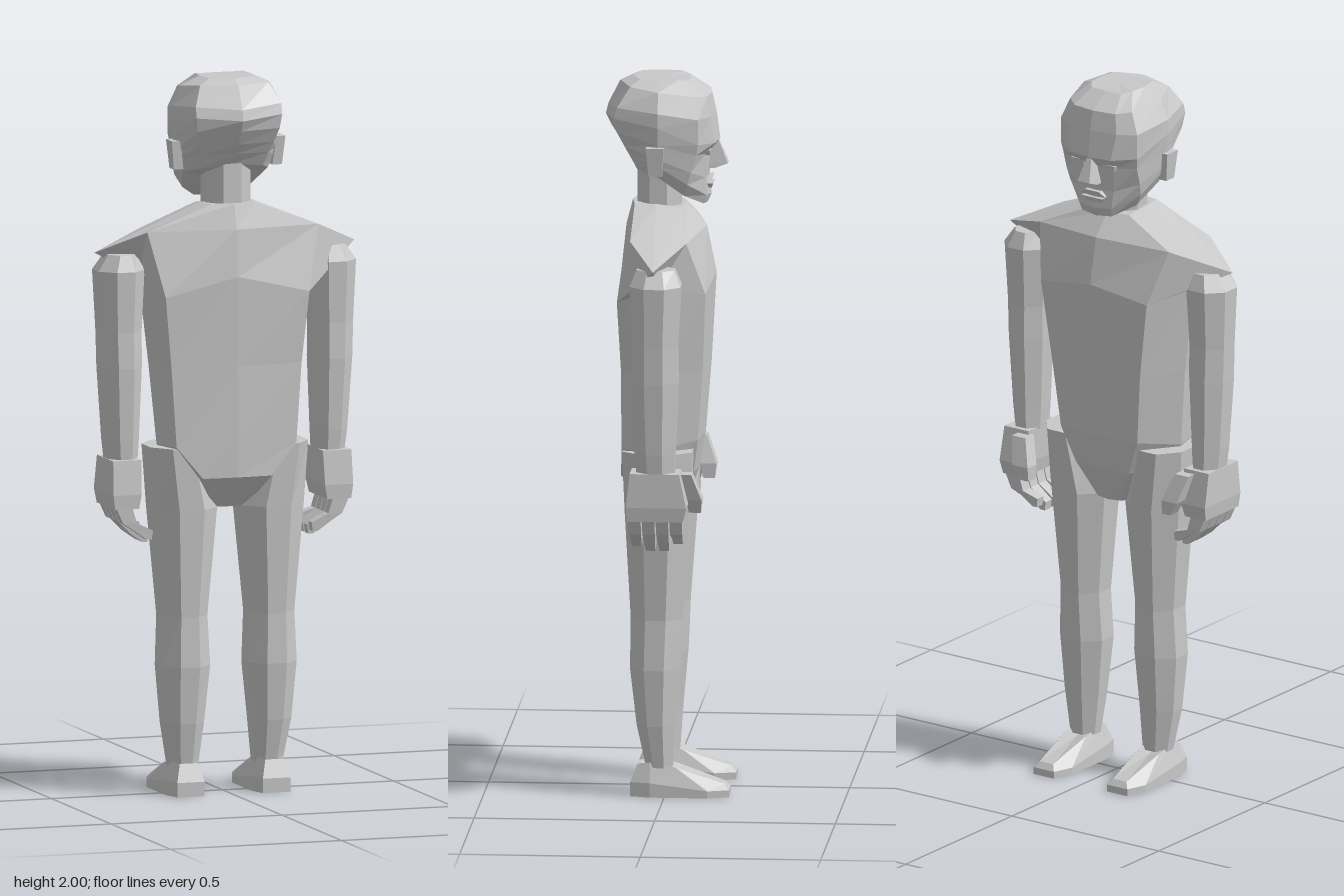
import * as THREE from 'three';

const grey = new THREE.MeshStandardMaterial({ color: 0xc8c8c8, flatShading: true });
grey.name = 'plain grey';

// Skin a stack of rings (lowest first, each counter-clockwise from above) and cap both ends.
// side = -1 mirrors the part to the other side of the body.
function loft(name, rings, side = 1) {
  if (side < 0) rings = rings.map(r => r.map(([x, y, z]) => [-x, y, z]).reverse());
  const n = rings[0].length, top = rings.length - 1, pos = rings.flat(2), idx = [];
  for (let i = 0; i < top; i++) {
    for (let j = 0; j < n; j++) {
      const a = i * n + j, b = i * n + (j + 1) % n;
      idx.push(a, b, b + n, a, b + n, a + n);
    }
  }
  for (const i of [0, top]) {
    const c = pos.length / 3;
    for (let k = 0; k < 3; k++) pos.push(rings[i].reduce((s, p) => s + p[k] / n, 0));
    for (let j = 0; j < n; j++) {
      const a = i * n + j, b = i * n + (j + 1) % n;
      idx.push(...(i ? [c, a, b] : [c, b, a]));
    }
  }
  const indexed = new THREE.BufferGeometry();
  indexed.setAttribute('position', new THREE.Float32BufferAttribute(pos, 3));
  indexed.setIndex(idx);
  const geo = indexed.toNonIndexed();
  geo.computeVertexNormals();
  const mesh = new THREE.Mesh(geo, grey);
  mesh.name = name;
  return mesh;
}

// Complete a half ring running from back centre to front centre
const mirrorRing = half => [...half, ...half.slice(1, -1).reverse().map(([x, y, z]) => [-x, y, z])];

// Eight-sided section with cut corners
function octagon([y, x0, x1, z0, z1], cut = 0.3) {
  const cx = (x1 - x0) * cut, cz = (z1 - z0) * cut;
  return [[x0 + cx, y, z1], [x1 - cx, y, z1], [x1, y, z1 - cz], [x1, y, z0 + cz],
    [x1 - cx, y, z0], [x0 + cx, y, z0], [x0, y, z0 + cz], [x0, y, z1 - cz]];
}

// Four-sided section
const rect = ([y, x0, x1, z0, z1]) => [[x0, y, z1], [x1, y, z1], [x1, y, z0], [x0, y, z0]];

export function createModel() {
  const figure = new THREE.Group();
  figure.name = 'figure';

  // Torso with pointed shoulder caps
  figure.add(loft('torso', [
    [[0, 0.8, 0.06], [0.05, 0.8, 0.055], [0.06, 0.8, 0], [0.04, 0.8, -0.04], [0, 0.8, -0.05]],
    [[0, 0.89, 0.13], [0.1, 0.89, 0.125], [0.17, 0.9, 0.02], [0.09, 0.9, -0.075], [0, 0.9, -0.085]],
    [[0, 1, 0.132], [0.175, 0.98, 0.118], [0.2, 0.98, 0.02], [0.13, 1, -0.09], [0, 1, -0.102]],
    [[0, 1.2, 0.13], [0.19, 1.2, 0.118], [0.22, 1.2, 0.01], [0.15, 1.2, -0.105], [0, 1.2, -0.118]],
    [[0, 1.45, 0.132], [0.21, 1.4, 0.128], [0.25, 1.45, 0.01], [0.18, 1.42, -0.115], [0, 1.45, -0.132]],
    [[0, 1.58, 0.118], [0.25, 1.58, 0.088], [0.38, 1.52, 0.015], [0.22, 1.57, -0.065], [0, 1.58, -0.105]],
    [[0, 1.65, 0.1], [0.065, 1.65, 0.09], [0.075, 1.65, 0.03], [0.065, 1.64, -0.04], [0, 1.64, -0.05]],
  ].map(mirrorRing)));

  figure.add(loft('neck', [
    octagon([1.6, -0.065, 0.065, -0.035, 0.085]),
    octagon([1.79, -0.065, 0.065, -0.035, 0.085]),
  ]));

  // Head from jaw to crown: back, back corner, side, cheek, face corner, face centre
  figure.add(loft('head', [
    [[0, 1.76, 0.085], [0.09, 1.75, 0.08], [0.125, 1.735, 0.02], [0.1, 1.68, -0.05], [0.05, 1.65, -0.1], [0, 1.645, -0.106]],
    [[0, 1.79, 0.11], [0.1, 1.79, 0.1], [0.143, 1.77, 0.02], [0.12, 1.715, -0.06], [0.055, 1.675, -0.108], [0, 1.67, -0.118]],
    [[0, 1.82, 0.135], [0.11, 1.82, 0.115], [0.148, 1.79, 0.02], [0.125, 1.75, -0.07], [0.06, 1.725, -0.105], [0, 1.725, -0.112]],
    [[0, 1.86, 0.16], [0.12, 1.86, 0.135], [0.152, 1.83, 0.02], [0.125, 1.8, -0.085], [0.065, 1.795, -0.108], [0, 1.795, -0.118]],
    [[0, 1.89, 0.175], [0.125, 1.9, 0.143], [0.157, 1.88, 0.02], [0.13, 1.83, -0.09], [0.07, 1.825, -0.132], [0, 1.825, -0.142]],
    [[0, 1.92, 0.168], [0.125, 1.93, 0.135], [0.155, 1.92, 0.02], [0.13, 1.9, -0.09], [0.08, 1.9, -0.12], [0, 1.9, -0.132]],
    [[0, 1.985, 0.135], [0.1, 1.985, 0.1], [0.13, 1.975, 0.02], [0.105, 1.96, -0.08], [0.07, 1.955, -0.11], [0, 1.955, -0.12]],
    [[0, 2, 0.1], [0.065, 2, 0.075], [0.075, 2, 0.02], [0.07, 2, -0.03], [0.05, 1.995, -0.055], [0, 1.995, -0.06]],
  ].map(mirrorRing)));

  // Facial features
  figure.add(loft('nose', [
    rect([1.745, -0.022, 0.022, -0.13, -0.1]),
    rect([1.758, -0.02, 0.02, -0.164, -0.1]),
    rect([1.82, -0.008, 0.008, -0.138, -0.1]),
  ]));
  figure.add(loft('upperLip', [
    rect([1.708, -0.04, 0.04, -0.118, -0.09]),
    rect([1.722, -0.025, 0.025, -0.124, -0.09]),
  ]));
  figure.add(loft('lowerLip', [
    rect([1.69, -0.025, 0.025, -0.12, -0.09]),
    rect([1.703, -0.036, 0.036, -0.124, -0.09]),
  ]));

  for (const side of [1, -1]) {
    const add = (name, rings) => figure.add(loft((side > 0 ? 'left ' : 'right ') + name, rings, side));

    add('eye', [rect([1.79, 0.035, 0.07, -0.118, -0.09]), rect([1.805, 0.03, 0.075, -0.12, -0.09])]);
    add('ear', [rect([1.745, 0.13, 0.158, 0.008, 0.045]), rect([1.825, 0.14, 0.166, 0.002, 0.052])]);

    // Arm
    add('arm', [
      [0.94, 0.26, 0.345, -0.04, 0.065],
      [1.0, 0.257, 0.352, -0.042, 0.07],
      [1.2, 0.25, 0.365, -0.05, 0.08],
      [1.3, 0.25, 0.368, -0.048, 0.077],
      [1.47, 0.242, 0.376, -0.058, 0.083],
      [1.515, 0.265, 0.345, -0.04, 0.065],
    ].map(r => octagon(r)));

    // Hand with curled fingers and a forward thumb
    add('palm', [
      [0.81, 0.275, 0.345, -0.065, 0.09],
      [0.85, 0.268, 0.35, -0.075, 0.092],
      [0.945, 0.265, 0.348, -0.055, 0.082],
    ].map(rect));
    for (let i = 0; i < 4; i++) {
      const z = -0.062 + i * 0.038, drop = [0.02, 0, 0, 0.012][i];
      add('finger', [
        [0.71 + drop, 0.235, 0.25, z + 0.004, z + 0.03],
        [0.735 + drop, 0.232, 0.285, z + 0.002, z + 0.032],
        [0.77, 0.28, 0.32, z, z + 0.034],
        [0.82, 0.295, 0.343, z, z + 0.035],
      ].map(rect));
    }
    add('thumb', [
      [0.82, 0.228, 0.255, -0.108, -0.075],
      [0.86, 0.228, 0.28, -0.112, -0.07],
      [0.935, 0.255, 0.3, -0.085, -0.045],
    ].map(rect));

    // Leg
    add('leg', [
      [0.08, 0.082, 0.165, -0.02, 0.053],
      [0.2, 0.07, 0.185, -0.028, 0.078],
      [0.36, 0.055, 0.198, -0.042, 0.096],
      [0.5, 0.062, 0.192, -0.048, 0.094],
      [0.8, 0.035, 0.218, -0.07, 0.11],
      [0.975, 0.08, 0.23, -0.078, 0.116],
    ].map(r => octagon(r)));

    // Foot with a sloping instep
    const sole = [[-0.04, 0.095], [0.04, 0.095], [0.055, 0.04], [0.055, -0.12],
      [0.035, -0.178], [-0.035, -0.178], [-0.055, -0.12], [-0.055, 0.04]];
    const instep = [[0.09, 0.075], [0.09, 0.075], [0.095, 0.04], [0.082, -0.03],
      [0.036, -0.165], [0.036, -0.165], [0.082, -0.03], [0.095, 0.04]];
    add('foot', [
      sole.map(([x, z]) => [0.125 + x, 0, z]),
      sole.map(([x, z]) => [0.125 + x, z < -0.1 ? 0.02 : 0.04, z]),
      instep.map(([y, z], i) => [0.125 + sole[i][0] * 0.65, y, z]),
    ]);
  }
  return figure;
}
